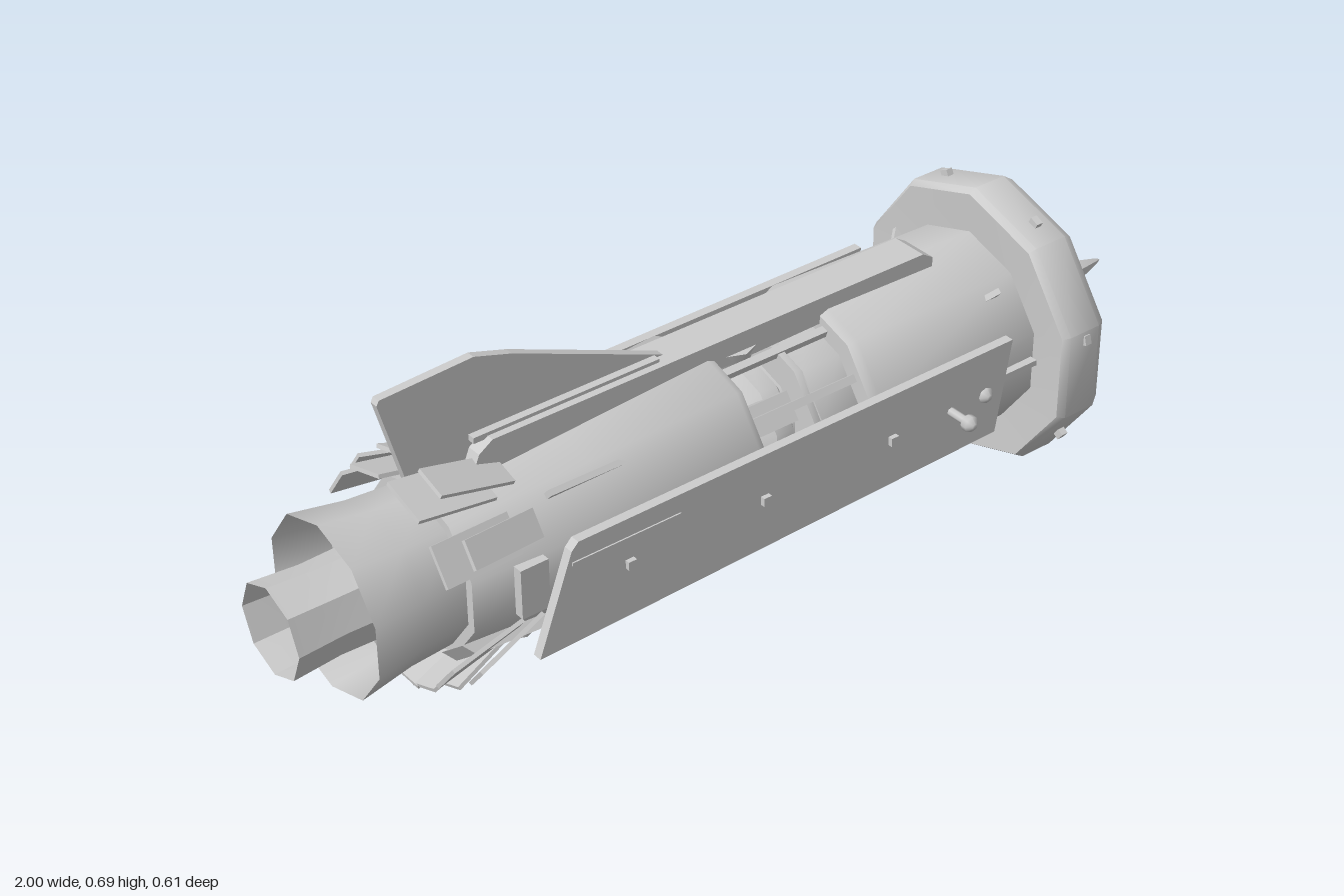
import * as THREE from 'three';
import { toCreasedNormals } from 'three/addons/utils/BufferGeometryUtils.js';

const CY = 0.3; // height of the engine axis
const metal = new THREE.MeshStandardMaterial({ color: 0xcccccc, side: THREE.DoubleSide });
metal.name = 'light grey metal';

export function createModel() {
  const model = new THREE.Group();
  model.name = 'rocketEngine';

  const add = (name, geo, parent = model) => {
    const m = new THREE.Mesh(geo, metal);
    m.name = name;
    parent.add(m);
    return m;
  };
  // Revolved part along x; profile holds [x, radius], first corner points down
  const turn = (name, profile, sides) => {
    const geo = new THREE.LatheGeometry(profile.map(([x, r]) => new THREE.Vector2(r, x)), sides, Math.PI / 2);
    geo.rotateZ(-Math.PI / 2);
    return add(name, toCreasedNormals(geo, 0.75).translate(0, CY, 0));
  };
  const box = (name, x0, x1, y0, y1, z0, z1, parent) =>
    add(name, new THREE.BoxGeometry(x1 - x0, y1 - y0, z1 - z0)
      .translate((x0 + x1) / 2, (y0 + y1) / 2, (z0 + z1) / 2), parent);
  // Flat plate drawn in x-y and extruded along z
  const plate = (name, pts, z0, depth, parent) =>
    add(name, new THREE.ExtrudeGeometry(new THREE.Shape(pts.map(p => new THREE.Vector2(...p))),
      { depth, bevelEnabled: false }).translate(0, 0, z0), parent);
  // Group turned around the engine axis: local y points outward
  const spoke = (name, angle) => {
    const g = new THREE.Group();
    g.name = name;
    g.position.y = CY;
    g.rotation.x = angle;
    model.add(g);
    return g;
  };

  // Hull in two sections with an open gap between
  turn('frontHull', [[0.2, 0.13], [0.2, 0.205], [0.22, 0.213], [0.62, 0.205], [0.62, 0]], 10);
  turn('rearHull', [[-0.69, 0.1], [-0.69, 0.172], [-0.4, 0.192], [-0.07, 0.213], [-0.055, 0.207], [-0.055, 0.1]], 10);
  turn('rearCollar', [[-0.7, 0], [-0.68, 0.165]], 10);

  // Machinery in the gap
  turn('core', [[-0.06, 0.1], [0, 0.1], [0.02, 0.14], [0.06, 0.14], [0.08, 0.11], [0.21, 0.11]], 10);
  turn('coreRing', [[0.08, 0.12], [0.08, 0.185], [0.095, 0.185], [0.095, 0.12]], 10);
  turn('coreBand', [[0.11, 0.11], [0.11, 0.165], [0.2, 0.165]], 10);
  for (let i = 0; i < 10; i++) {
    const g = spoke('gapStrut', (i + 0.5) * Math.PI / 5);
    box('strut', -0.06, 0.21, 0.165, 0.18, -0.008, 0.008, g);
    if (i % 2) box('gapBlock', -0.05, 0.06, 0.12, 0.16, -0.03, 0.03, g);
  }
  for (const s of [0, Math.PI]) {
    const g = spoke('gapBowl', s);
    add('bowl', new THREE.CylinderGeometry(0.055, 0.03, 0.06, 8).translate(0.01, 0.16, 0), g);
  }

  // Intake ring
  turn('intakeRing', [[0.62, 0.2], [0.615, 0.29], [0.63, 0.3], [0.705, 0.3], [0.73, 0.283],
    [0.715, 0.25], [0.635, 0.245], [0.635, 0]], 10);
  for (const a of [0.45, -0.45, 2.2, -2.2, 1.32, -1.32]) {
    box('ringStud', 0.665, 0.68, 0.28, 0.3, -0.01, 0.01, spoke('ringStudMount', a));
  }

  // Intake throat, louvres and vanes
  turn('intakeThroat', [[0.635, 0.215], [0.665, 0.21], [0.665, 0.2], [0.65, 0.195], [0.65, 0]], 7);
  for (const y of [0.17, 0.235, 0.3, 0.365, 0.43]) box('louvre', 0.65, 0.7, y - 0.007, y + 0.007, -0.18, 0.18);
  for (let i = 0; i < 14; i++) {
    plate('vane', [[0.635, 0.1], [0.72, 0.1], [0.7, 0.14], [0.65, 0.2], [0.635, 0.2]], -0.003, 0.006,
      spoke('vaneMount', (i + 0.5) * Math.PI / 7));
  }

  // Stepped nose with an open mouth, cross bars and spike
  turn('nose', [[0.64, 0.125], [0.72, 0.145], [0.75, 0.145], [0.79, 0.135], [0.79, 0.125], [0.81, 0.123],
    [0.81, 0.117], [0.835, 0.115], [0.835, 0.108], [0.85, 0.105], [0.85, 0.098], [0.82, 0.09], [0.82, 0]], 7);
  box('noseBar', 0.82, 0.845, 0.21, 0.39, -0.005, 0.005);
  box('noseBar', 0.82, 0.845, 0.295, 0.305, -0.09, 0.09);
  turn('noseSpike', [[0.82, 0.02], [0.86, 0.022], [0.89, 0.026], [0.93, 0.022], [0.985, 0.007], [1, 0]], 6);

  // Exhaust bell and inner nozzle
  turn('exhaustBell', [[-0.89, 0.176], [-0.78, 0.158], [-0.68, 0.152]], 10);
  turn('exhaustBack', [[-0.8, 0.08], [-0.78, 0.158]], 10);
  turn('innerNozzle', [[-1, 0.094], [-0.9, 0.087], [-0.78, 0.09]], 8);

  // Dorsal fin on its spine
  plate('dorsalFin', [[-0.7, 0.45], [-0.76, 0.67], [-0.755, 0.68], [-0.56, 0.69], [-0.48, 0.665], [-0.15, 0.53],
    [-0.15, 0.48]], -0.009, 0.018);
  plate('spine', [[-0.6, 0.46], [-0.58, 0.51], [-0.55, 0.53], [0.46, 0.53], [0.485, 0.515], [0.485, 0.48]], -0.04, 0.08);
  box('spineCap', -0.58, -0.17, 0.525, 0.537, -0.025, 0.025);

  // Side panels with brackets, bolts and knobs
  for (const s of [1, -1]) {
    const side = new THREE.Group();
    side.name = s > 0 ? 'leftSide' : 'rightSide';
    side.scale.z = s;
    model.add(side);
    plate('sidePanel', [[-0.6, 0.183], [-0.525, 0.385], [-0.51, 0.4], [0.525, 0.405], [0.49, 0.207]], 0.212, 0.02, side);
    box('panelBracket', -0.5, 0.48, 0.26, 0.34, 0.16, 0.213, side);
    box('panelTrim', -0.525, -0.285, 0.355, 0.362, 0.23, 0.235, side);
    box('sideVent', -0.605, -0.545, 0.25, 0.355, 0.15, 0.19, side);
    box('forwardRib', 0.5, 0.615, 0.3, 0.312, 0.19, 0.212, side);
    for (const x of [-0.4, -0.09, 0.22]) box('bolt', x - 0.009, x + 0.009, 0.295, 0.313, 0.225, 0.242, side);
    const knobs = s > 0 ? [[0.37, 0.3], [0.46, 0.245]] : [[0.285, 0.285], [0.37, 0.308], [0.46, 0.245]];
    for (const [x, tip] of knobs) {
      const profile = [[0, 0.2], [0.009, 0.2], [0.009, tip - 0.03], [0.017, tip - 0.022], [0.017, tip - 0.01], [0.006, tip], [0, tip]];
      add('knob', new THREE.LatheGeometry(profile.map(p => new THREE.Vector2(...p)), 8)
        .rotateX(Math.PI / 2).translate(x, 0.304, 0), side);
    }
    // Lower skirt of the rear hull
    const skirt = spoke('skirtMount', s * 2.45);
    plate('skirt', [[-0.7, 0.16], [-0.02, 0.2], [-0.02, 0.22], [-0.68, 0.185]], -0.045, 0.09, skirt);
    // Small triangular fins on both hull sections
    const tab = spoke('finMount', s * 0.75);
    plate('hullTab', [[0.53, 0.19], [0.56, 0.225], [0.57, 0.19]], -0.006, 0.012, tab);
    plate('rearTab', [[-0.5, 0.175], [-0.5, 0.2], [-0.33, 0.19]], -0.006, 0.012, tab);
  }

  // Belly panels and pods
  box('bellyPanel', -0.28, 0, 0.09, 0.14, -0.07, 0.07);
  box('bellyPanel', 0.17, 0.43, 0.088, 0.12, -0.07, 0.07);
  box('bellyRib', -0.02, 0.2, 0.11, 0.13, -0.02, 0.02);
  for (const x of [-0.6, -0.51]) for (const z of [-0.04, 0.04]) {
    add('bellyPod', new THREE.CylinderGeometry(0.025, 0.02, 0.06, 8).translate(x, 0.115, z));
  }

  // Tail flaps, flared outward toward the rear
  const flaps = [[0.3, 0.1, 0.18], [-0.3, 0.1, 0.18], [0.95, 0.08, 0.12], [-0.95, 0.08, 0.12],
    [Math.PI, 0.13, 0.2], [2.75, 0.08, 0.27], [-2.75, 0.08, 0.27], [2.25, 0.09, 0.18], [-2.25, 0.09, 0.18]];
  for (const [a, w, tilt] of flaps) {
    const mount = spoke('tailFlapMount', a);
    for (const k of [0, 1]) {
      const m = add('tailFlap', new THREE.BoxGeometry(0.17, 0.008, w * (1 - 0.3 * k)), mount);
      m.position.set(-0.67 + 0.05 * k, 0.19 + 0.012 * k, 0);
      m.rotation.z = -tilt - 0.12 * k;
    }
  }
  return model;
}
